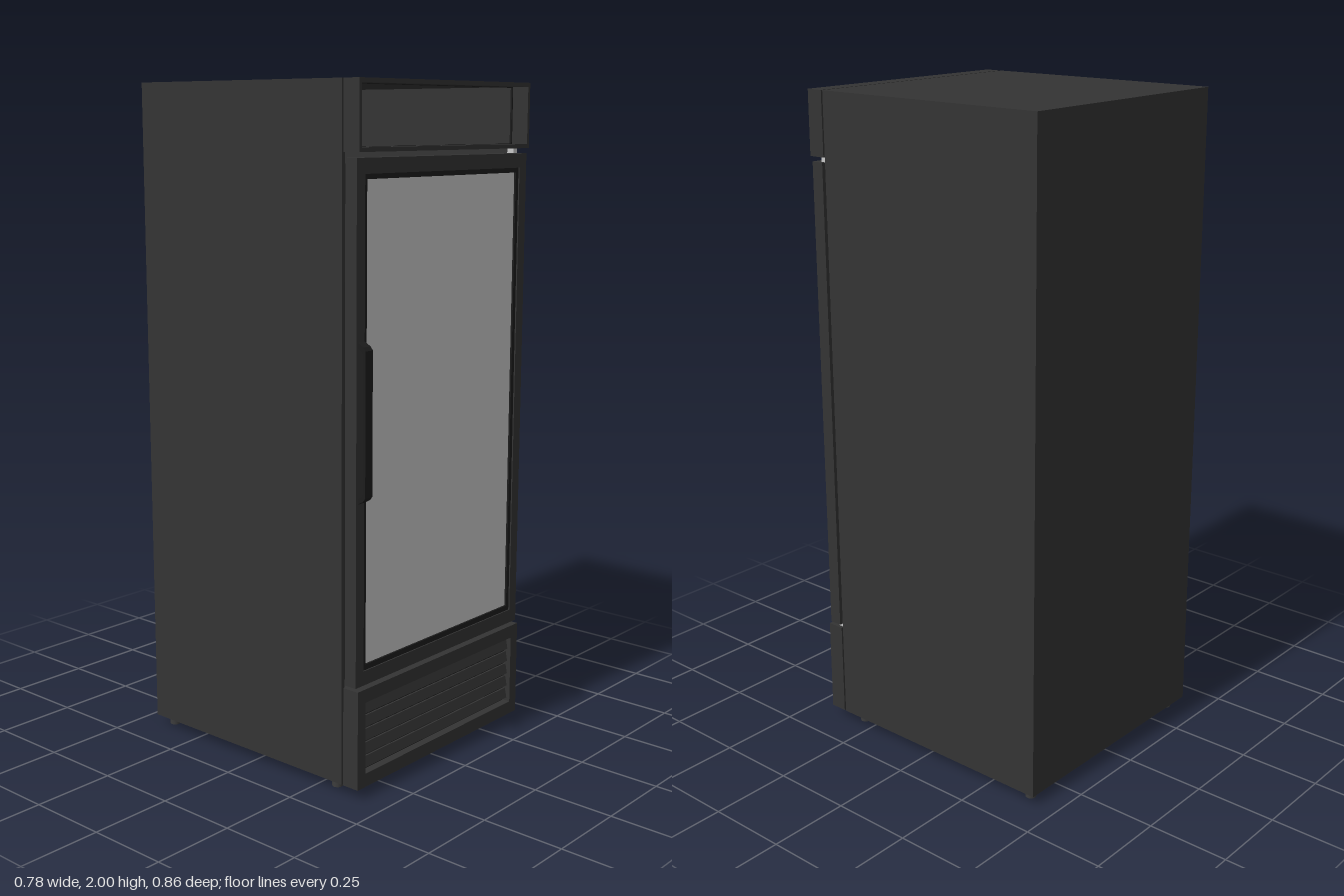
import * as THREE from 'three';

const mat = (name, color, side = THREE.FrontSide) => {
  const m = new THREE.MeshStandardMaterial({ color, side });
  m.name = name;
  return m;
};

export function createModel() {
  const root = new THREE.Group();
  root.name = 'displayFridge';
  const body = mat('charcoal', 0x343434);
  const trim = mat('black', 0x1c1c1c);
  const glass = mat('pale grey', 0xc9c9c9);
  const footGrey = mat('foot grey', 0x3c3c3c);

  const group = (name) => {
    const g = new THREE.Group();
    g.name = name;
    root.add(g);
    return g;
  };
  // Box given by its minimum and maximum corners
  const box = (parent, name, m, x0, x1, y0, y1, z0, z1) => {
    const mesh = new THREE.Mesh(new THREE.BoxGeometry(x1 - x0, y1 - y0, z1 - z0), m);
    mesh.position.set((x0 + x1) / 2, (y0 + y1) / 2, (z0 + z1) / 2);
    mesh.name = name;
    parent.add(mesh);
    return mesh;
  };
  // Rectangular frame, with a hole inset by side and top/bottom widths
  const frame = (parent, name, m, x, y0, y1, z0, z1, wx, wb, wt = wb) => {
    const rect = (P, a, b, c, d) =>
      new P([[a, c], [b, c], [b, d], [a, d]].map(([u, v]) => new THREE.Vector2(u, v)));
    const s = rect(THREE.Shape, -x, x, y0, y1);
    s.holes.push(rect(THREE.Path, -x + wx, x - wx, y0 + wb, y1 - wt));
    const mesh = new THREE.Mesh(
      new THREE.ExtrudeGeometry(s, { depth: z1 - z0, bevelEnabled: false }), m);
    mesh.position.z = z0;
    mesh.name = name;
    parent.add(mesh);
  };

  // Hollow cabinet, open at the front
  const cabinet = group('cabinet');
  frame(cabinet, 'cabinetShell', body, 0.39, 0.03, 2, -0.42, 0.35, 0.012, 0.012);
  box(cabinet, 'backWall', body, -0.39, 0.39, 0.03, 2, -0.43, -0.42);
  box(cabinet, 'upperShelf', glass, -0.35, 0.35, 1.625, 1.635, -0.15, 0.34);

  // Open header frame
  const header = group('header');
  frame(header, 'headerSeam', trim, 0.384, 1.815, 1.994, 0.35, 0.356, 0.008, 0.008);
  frame(header, 'headerFrame', body, 0.39, 1.81, 2, 0.356, 0.41, 0.01, 0.012);

  // Door with gaskets and pane
  const door = group('door');
  frame(door, 'doorSeal', trim, 0.38, 0.345, 1.78, 0.35, 0.362, 0.04, 0.05);
  frame(door, 'doorFrame', body, 0.39, 0.333, 1.795, 0.362, 0.402, 0.034, 0.042, 0.042);
  frame(door, 'paneGasket', trim, 0.356, 0.375, 1.753, 0.37, 0.398, 0.013, 0.016, 0.014);
  box(door, 'pane', glass, -0.344, 0.344, 0.39, 1.74, 0.384, 0.392);

  // Hinges on the model's left
  const hinges = group('hinges');
  for (const [y0, y1] of [[1.795, 1.81], [0.322, 0.333]])
    box(hinges, 'hinge', glass, 0.362, 0.38, y0, y1, 0.352, 0.375);

  // Handle: bent strap seen in side profile (z, y)
  const strap = [[0.4, 0.862], [0.422, 0.874], [0.43, 0.884], [0.43, 1.288], [0.422, 1.298],
    [0.4, 1.31], [0.4, 1.295], [0.416, 1.285], [0.42, 1.278], [0.42, 0.894], [0.416, 0.887], [0.4, 0.877]];
  const handle = new THREE.Mesh(
    new THREE.ExtrudeGeometry(new THREE.Shape(strap.map(([z, y]) => new THREE.Vector2(z, y))),
      { depth: 0.03, bevelEnabled: false }), trim);
  handle.rotation.y = -Math.PI / 2;
  handle.position.x = -0.355;
  handle.name = 'handle';
  root.add(handle);

  // Lower panel with recessed louvres
  const grille = group('lowerPanel');
  box(grille, 'panelSeam', trim, -0.384, 0.384, 0.036, 0.318, 0.35, 0.356);
  frame(grille, 'panelFrame', body, 0.39, 0.03, 0.324, 0.356, 0.41, 0.034, 0.04, 0.04);
  box(grille, 'grilleBack', trim, -0.356, 0.356, 0.07, 0.284, 0.356, 0.385);
  for (let i = 0; i < 5; i++) {
    const y = 0.096 + i * 0.041;
    const slat = box(grille, 'louvre', body, -0.355, 0.355, y - 0.016, y + 0.016, 0.388, 0.396);
    slat.rotation.x = -0.2;
  }

  // Feet
  const feet = group('feet');
  for (const x of [-0.35, 0.35]) for (const z of [-0.39, 0.3]) {
    const foot = new THREE.Mesh(new THREE.CylinderGeometry(0.016, 0.016, 0.032, 20), footGrey);
    foot.position.set(x, 0.016, z);
    foot.name = 'foot';
    feet.add(foot);
  }
  return root;
}
